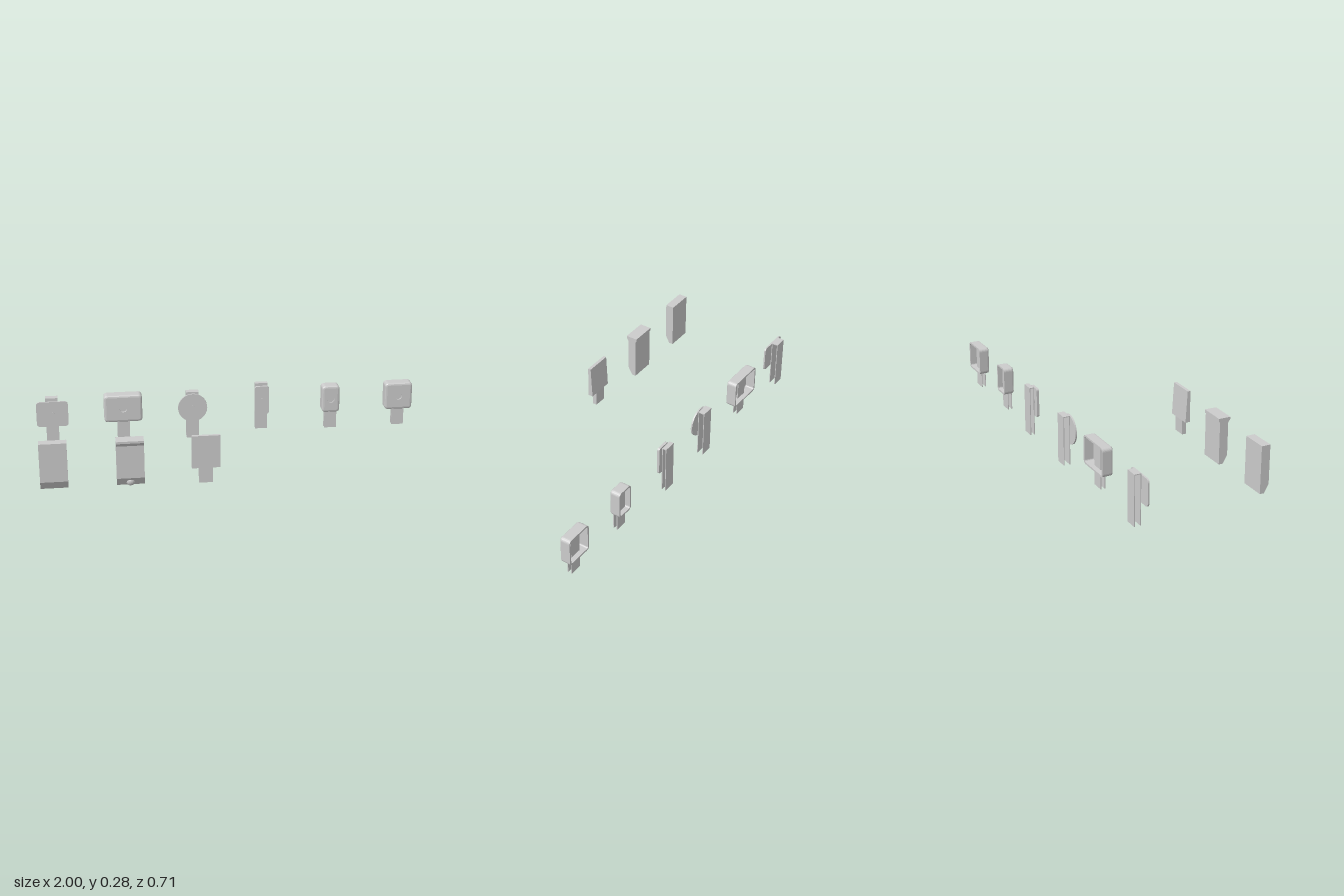
import * as THREE from 'three';

const mat = new THREE.MeshStandardMaterial({ color: 0xcccccc, flatShading: true, side: THREE.DoubleSide });

function add(parent, name, geo, x = 0, y = 0, z = 0) {
  const m = new THREE.Mesh(geo, mat);
  m.name = name;
  m.position.set(x, y, z);
  parent.add(m);
  return m;
}

// Box given by its limits
function block(parent, name, x0, x1, y0, y1, z0, z1) {
  return add(parent, name, new THREE.BoxGeometry(x1 - x0, y1 - y0, z1 - z0),
    (x0 + x1) / 2, (y0 + y1) / 2, (z0 + z1) / 2);
}

// Side profile of [z, y] points extruded along x
function prism(parent, name, x0, x1, profile) {
  const shape = new THREE.Shape(profile.map(p => new THREE.Vector2(...p)));
  const geo = new THREE.ExtrudeGeometry(shape, { depth: x1 - x0, bevelEnabled: false });
  geo.rotateY(-Math.PI / 2);
  return add(parent, name, geo, x1);
}

// Points around a centred rounded rectangle, counter-clockwise
function roundedRect(w, h, r, steps = 5) {
  const pts = [];
  [[1, 1], [-1, 1], [-1, -1], [1, -1]].forEach(([sx, sy], q) => {
    for (let i = 0; i <= steps; i++) {
      const a = (q + i / steps) * Math.PI / 2;
      pts.push(new THREE.Vector2(sx * (w / 2 - r) + r * Math.cos(a), sy * (h / 2 - r) + r * Math.sin(a)));
    }
  });
  return pts;
}

// Hollow cover: rounded walls open at the back, front face with a round hole
function cover(parent, x, y, w, h, depth, zFront, holeR) {
  const profile = [[0.012, 0], [0.005, -0.002], [0.001, -0.006], [0, -0.012],
    [0, -depth], [0.009, -depth], [0.011, -0.01]];
  const loops = profile.map(([inset, z]) =>
    roundedRect(w - 2 * inset, h - 2 * inset, 0.018 - inset).map(p => [p.x, p.y, z]));
  const n = loops[0].length, index = [];
  for (let j = 0; j < loops.length - 1; j++) {
    for (let i = 0; i < n; i++) {
      const a = j * n + i, b = j * n + (i + 1) % n;
      index.push(a, a + n, b, b, a + n, b + n);
    }
  }
  const geo = new THREE.BufferGeometry();
  geo.setAttribute('position', new THREE.Float32BufferAttribute(loops.flat(2), 3));
  geo.setIndex(index);
  geo.computeVertexNormals();
  add(parent, 'coverWall', geo, x, y, zFront);

  const face = new THREE.Shape(roundedRect(w - 0.024, h - 0.024, 0.006));
  face.holes.push(new THREE.Path().absarc(0, 0, holeR, 0, Math.PI * 2, true));
  add(parent, 'coverFace', new THREE.ExtrudeGeometry(face, { depth: 0.01, bevelEnabled: false, curveSegments: 20 }),
    x, y, zFront - 0.01);
}

// Folded strip: two thin legs joined along the top
function spring(parent, x, w, y0, y1, zBack, zFront) {
  const t = 0.004;
  block(parent, 'springBackLeg', x - w / 2, x + w / 2, y0, y1, zBack, zBack + t);
  block(parent, 'springFrontLeg', x - w / 2, x + w / 2, y0, y1, zFront - t, zFront);
  block(parent, 'springFold', x - w / 2, x + w / 2, y1 - t, y1, zBack + t, zFront - t);
}

// Small centre stud linking a front plate to its spring
function stud(parent, x, y, z0, z1) {
  const geo = new THREE.CylinderGeometry(0.012, 0.012, z1 - z0, 20).rotateX(Math.PI / 2);
  add(parent, 'centreStud', geo, x, y, (z0 + z1) / 2);
}

export function createModel() {
  const model = new THREE.Group();
  const part = name => {
    const g = new THREE.Group();
    g.name = name;
    model.add(g);
    return g;
  };

  // Front row: plain block with sloped lower edge
  prism(part('plainBlock'), 'blockBody', -0.985, -0.85,
    [[0.3, 0.037], [0.322, 0.037], [0.346, 0.08], [0.346, 0.28], [0.3, 0.28]]);

  // Front row: block with top lip and round button
  const lipped = part('lippedBlock');
  prism(lipped, 'lippedBody', -0.615, -0.48,
    [[0.3, 0.037], [0.322, 0.037], [0.346, 0.08], [0.346, 0.25], [0.357, 0.267],
      [0.357, 0.278], [0.294, 0.278], [0.294, 0.262], [0.3, 0.258]]);
  add(lipped, 'button', new THREE.SphereGeometry(0.022, 20, 12), -0.548, 0.056, 0.326).scale.z = 0.8;

  // Front row: tapered plate with narrow tab
  const plate = part('tabbedPlate');
  prism(plate, 'plateBody', -0.25, -0.11,
    [[0.321, 0.115], [0.346, 0.115], [0.346, 0.284], [0.33, 0.284]]);
  prism(plate, 'plateTab', -0.215, -0.147,
    [[0.323, 0.037], [0.346, 0.037], [0.346, 0.115], [0.321, 0.115]]);

  // Back row: clips with a thin rounded plate or disc
  const square = part('squareClip');
  add(square, 'clipPlate', new THREE.ExtrudeGeometry(new THREE.Shape(roundedRect(0.165, 0.137, 0.018)),
    { depth: 0.008, bevelEnabled: false }), -0.917, 0.175, -0.3);
  stud(square, -0.917, 0.175, -0.31, -0.29);
  spring(square, -0.919, 0.065, 0, 0.258, -0.343, -0.308);

  const round = part('roundClip');
  add(round, 'clipDisc', new THREE.CylinderGeometry(0.077, 0.077, 0.008, 40).rotateX(Math.PI / 2),
    -0.183, 0.175, -0.296);
  stud(round, -0.183, 0.175, -0.31, -0.29);
  spring(round, -0.182, 0.066, 0, 0.258, -0.343, -0.308);

  const narrow = part('narrowClip');
  add(narrow, 'clipPlate', new THREE.ExtrudeGeometry(new THREE.Shape(roundedRect(0.076, 0.155, 0.012)),
    { depth: 0.013, bevelEnabled: false }), 0.187, 0.193, -0.321);
  stud(narrow, 0.187, 0.193, -0.335, -0.307);
  spring(narrow, 0.187, 0.066, 0.023, 0.281, -0.357, -0.333);

  // Back row: hollow covers with springs inside
  for (const [name, x, w] of [['wideCover', -0.548, 0.2], ['smallCover', 0.556, 0.095], ['mediumCover', 0.923, 0.148]]) {
    const g = part(name);
    cover(g, x, 0.187, w, 0.148, 0.057, -0.291, 0.019);
    spring(g, x, 0.065, 0.023, 0.232, -0.324, -0.3);
  }
  return model;
}
